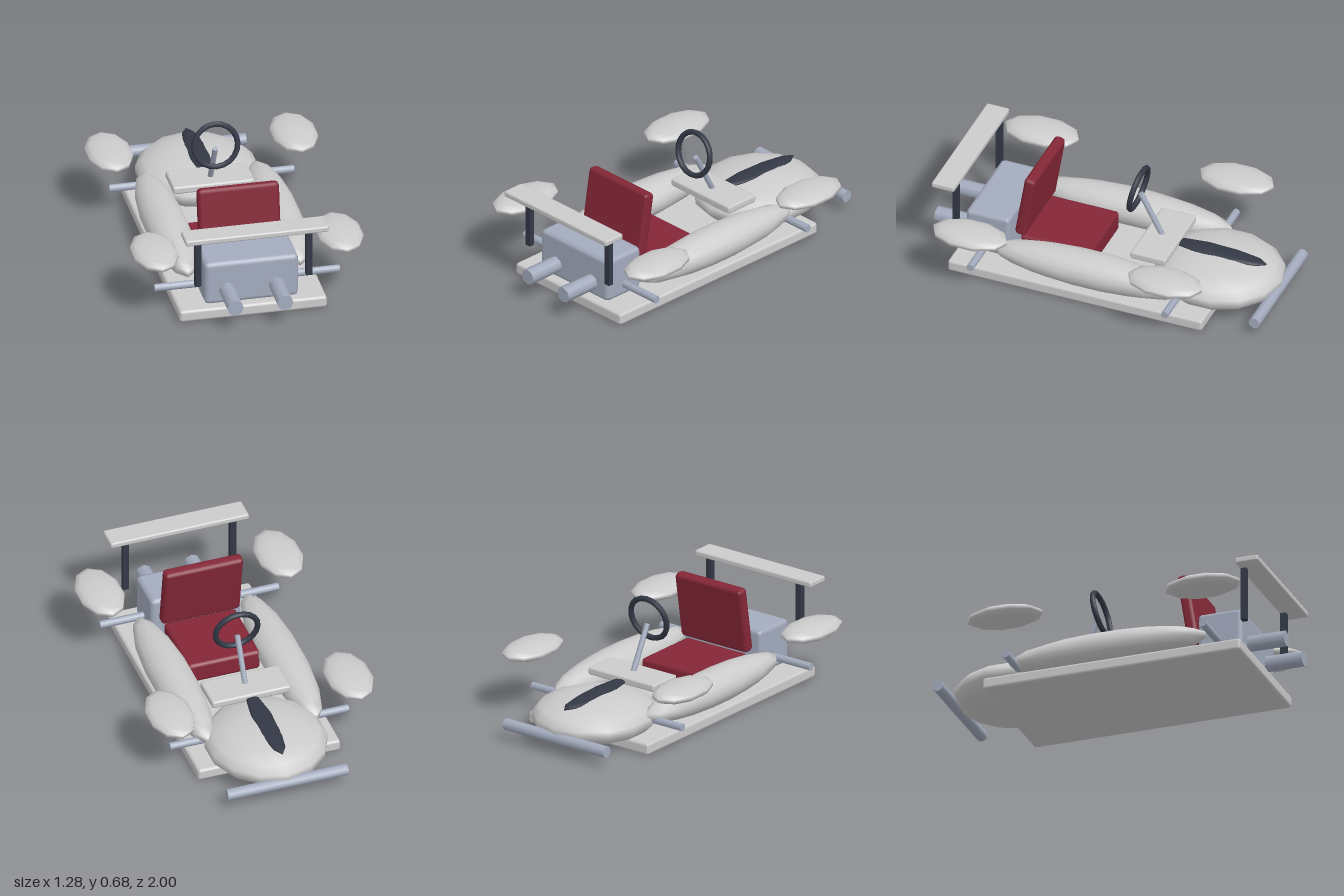
import * as THREE from 'three';
import { RoundedBoxGeometry } from 'three/addons/geometries/RoundedBoxGeometry.js';

const mat = (color) => new THREE.MeshStandardMaterial({ color });

export function createModel() {
  const kart = new THREE.Group();
  kart.name = 'kart';
  const grey = mat(0xcccccc), steel = mat(0xa3abbd), dark = mat(0x333845), red = mat(0x842737);

  const add = (name, geometry, material, x, y, z) => {
    const mesh = new THREE.Mesh(geometry, material);
    mesh.name = name;
    mesh.position.set(x, y, z);
    kart.add(mesh);
    return mesh;
  };

  // Box with chamfered edges
  const block = (name, w, h, d, bevel, material, x, y, z) =>
    add(name, new RoundedBoxGeometry(w, h, d, 1, bevel), material, x, y, z);

  // Ellipsoid with a corner pointing along z
  const pod = (name, rx, ry, rz, sides, rows, material, x, y, z) => {
    const g = new THREE.SphereGeometry(1, sides, rows);
    g.rotateY(Math.PI / 2);
    g.scale(rx, ry, rz);
    return add(name, g, material, x, y, z);
  };

  // Round bar between two points
  const bar = (name, from, to, radius, material, sides = 8) => {
    const a = new THREE.Vector3(...from), b = new THREE.Vector3(...to);
    const dir = b.clone().sub(a);
    const mid = a.add(b).multiplyScalar(0.5);
    const mesh = add(name, new THREE.CylinderGeometry(radius, radius, dir.length(), sides), material, mid.x, mid.y, mid.z);
    mesh.quaternion.setFromUnitVectors(new THREE.Vector3(0, 1, 0), dir.normalize());
    return mesh;
  };

  // Floor, nose, nose stripe and bumper
  block('floor', 0.83, 0.068, 1.51, 0.016, grey, 0, 0.036, 0.073);
  pod('nose', 0.343, 0.125, 0.37, 14, 9, grey, 0, 0.135, -0.62);
  const stripe = pod('noseStripe', 0.06, 0.018, 0.285, 10, 7, dark, 0, 0.25, -0.62);
  stripe.rotation.x = -0.03;
  bar('bumper', [-0.35, 0.097, -0.967], [0.35, 0.097, -0.967], 0.033, steel, 10);

  // Dashboard, steering column and wheel
  block('dashboard', 0.46, 0.045, 0.21, 0.013, grey, 0, 0.26, -0.285);
  bar('steeringColumn', [0, 0.25, -0.29], [0, 0.52, -0.15], 0.016, steel);
  const wheel = add('steeringWheel', new THREE.TorusGeometry(0.123, 0.016, 8, 20), dark, 0, 0.547, -0.137);
  wheel.rotation.x = -0.19;

  // Seat
  block('seatCushion', 0.42, 0.12, 0.42, 0.02, red, 0, 0.14, 0.27);
  const back = block('seatBack', 0.46, 0.39, 0.066, 0.022, red, 0, 0.405, 0.447);
  back.rotation.x = -0.16;

  // Engine
  block('engine', 0.53, 0.255, 0.26, 0.026, steel, 0, 0.197, 0.653);

  // Axles
  for (const [name, z] of [['frontAxle', -0.505], ['rearAxle', 0.65]])
    bar(name, [-0.52, 0.14, z], [0.52, 0.14, z], 0.022, steel);

  // Mirrored side parts
  for (const [side, s] of [['left', 1], ['right', -1]]) {
    pod(side + 'SidePod', 0.121, 0.099, 0.586, 14, 9, grey, s * 0.315, 0.168, 0.015);
    pod(side + 'FrontWheel', 0.131, 0.045, 0.223, 10, 7, grey, s * 0.52, 0.364, -0.508);
    pod(side + 'RearWheel', 0.131, 0.045, 0.223, 10, 7, grey, s * 0.52, 0.364, 0.65);
    bar(side + 'Exhaust', [s * 0.14, 0.155, 0.74], [s * 0.14, 0.155, 1], 0.046, steel);
    add(side + 'WingPost', new THREE.BoxGeometry(0.035, 0.32, 0.032), dark, s * 0.312, 0.38, 0.817);
  }

  // Rear wing
  block('rearWing', 0.806, 0.034, 0.135, 0.01, grey, 0, 0.547, 0.861);

  return kart;
}
